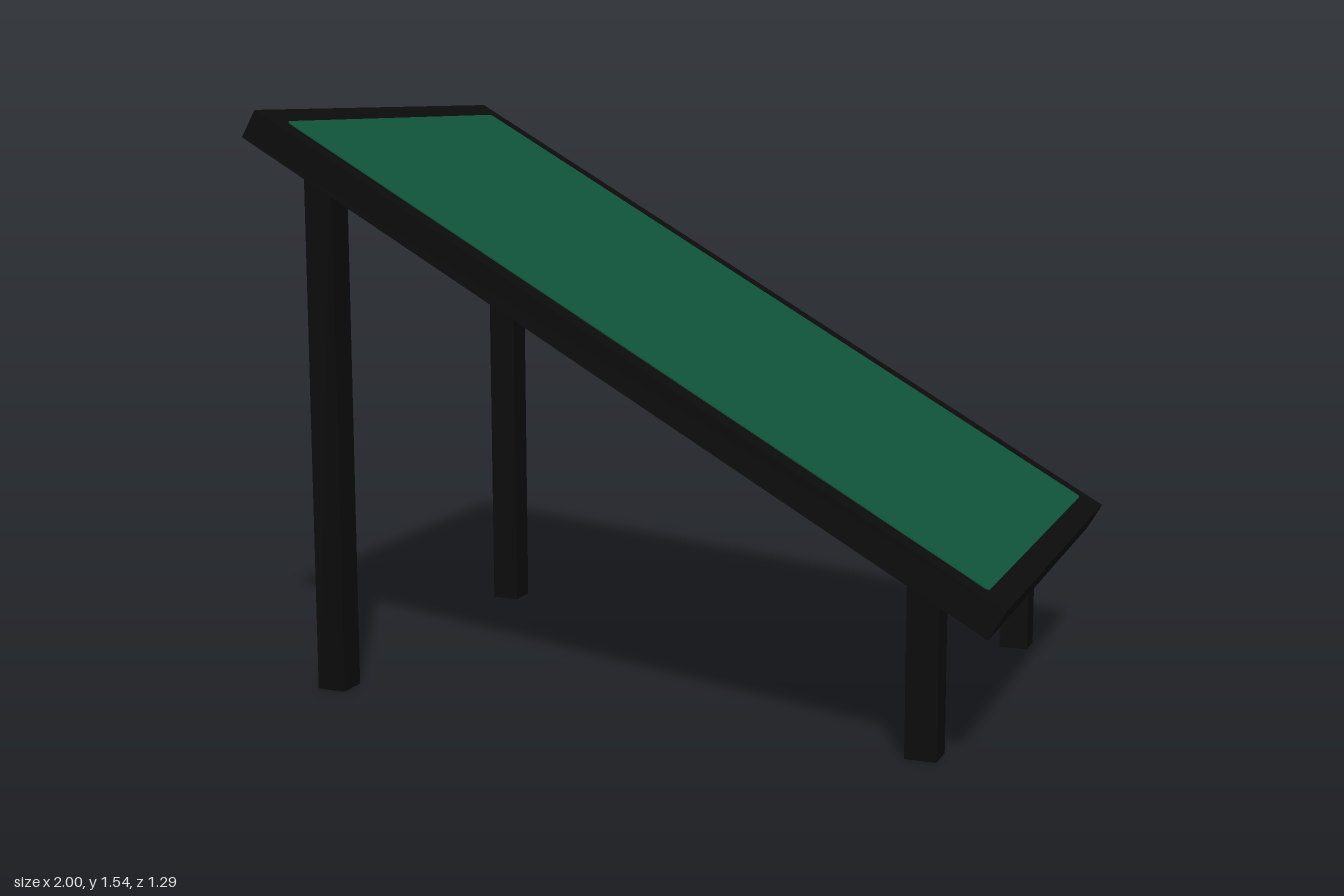
import * as THREE from 'three';

const TILT = Math.PI / 6;
const LENGTH = 2.263, WIDTH = 1.29, THICK = 0.08, CENTRE_Y = 0.935;
const BORDER = 0.063, LEG = 0.08;

// Rounded rectangle centred on the origin
function roundedRect(w, h, r) {
  const x = w / 2, y = h / 2;
  const s = new THREE.Shape();
  s.moveTo(-x + r, -y);
  s.lineTo(x - r, -y).quadraticCurveTo(x, -y, x, -y + r);
  s.lineTo(x, y - r).quadraticCurveTo(x, y, x - r, y);
  s.lineTo(-x + r, y).quadraticCurveTo(-x, y, -x, y - r);
  s.lineTo(-x, -y + r).quadraticCurveTo(-x, -y, -x + r, -y);
  return s;
}

export function createModel() {
  const black = new THREE.MeshStandardMaterial({ color: 0x0b0b0b });
  black.name = 'black frame';
  const green = new THREE.MeshStandardMaterial({ color: 0x0f523a });
  green.name = 'green surface';

  const model = new THREE.Group();
  model.name = 'slopedTable';

  // Tilted top, high on the -x end
  const top = new THREE.Group();
  top.name = 'tiltedTop';
  top.position.y = CENTRE_Y;
  top.rotation.z = -TILT;
  model.add(top);

  const board = new THREE.Mesh(new THREE.BoxGeometry(LENGTH, THICK, WIDTH), black);
  board.name = 'board';
  top.add(board);

  // Thin green inlay, almost flush with the board
  const inlayGeometry = new THREE.ExtrudeGeometry(
    roundedRect(LENGTH - 2 * BORDER, WIDTH - 2 * BORDER, 0.012),
    { depth: 0.005, bevelEnabled: false, curveSegments: 4 }
  );
  inlayGeometry.rotateX(-Math.PI / 2);
  const inlay = new THREE.Mesh(inlayGeometry, green);
  inlay.name = 'greenInlay';
  inlay.position.y = THICK / 2 - 0.002;
  top.add(inlay);

  // Square legs reaching up into the board
  for (const [name, x] of [['tallLeg', -0.83], ['shortLeg', 0.785]]) {
    const height = CENTRE_Y - x * Math.tan(TILT);
    for (const side of [1, -1]) {
      const leg = new THREE.Mesh(new THREE.BoxGeometry(LEG, height, LEG), black);
      leg.name = name + (side > 0 ? 'Front' : 'Back');
      leg.position.set(x, height / 2, side * 0.525);
      model.add(leg);
    }
  }
  return model;
}
